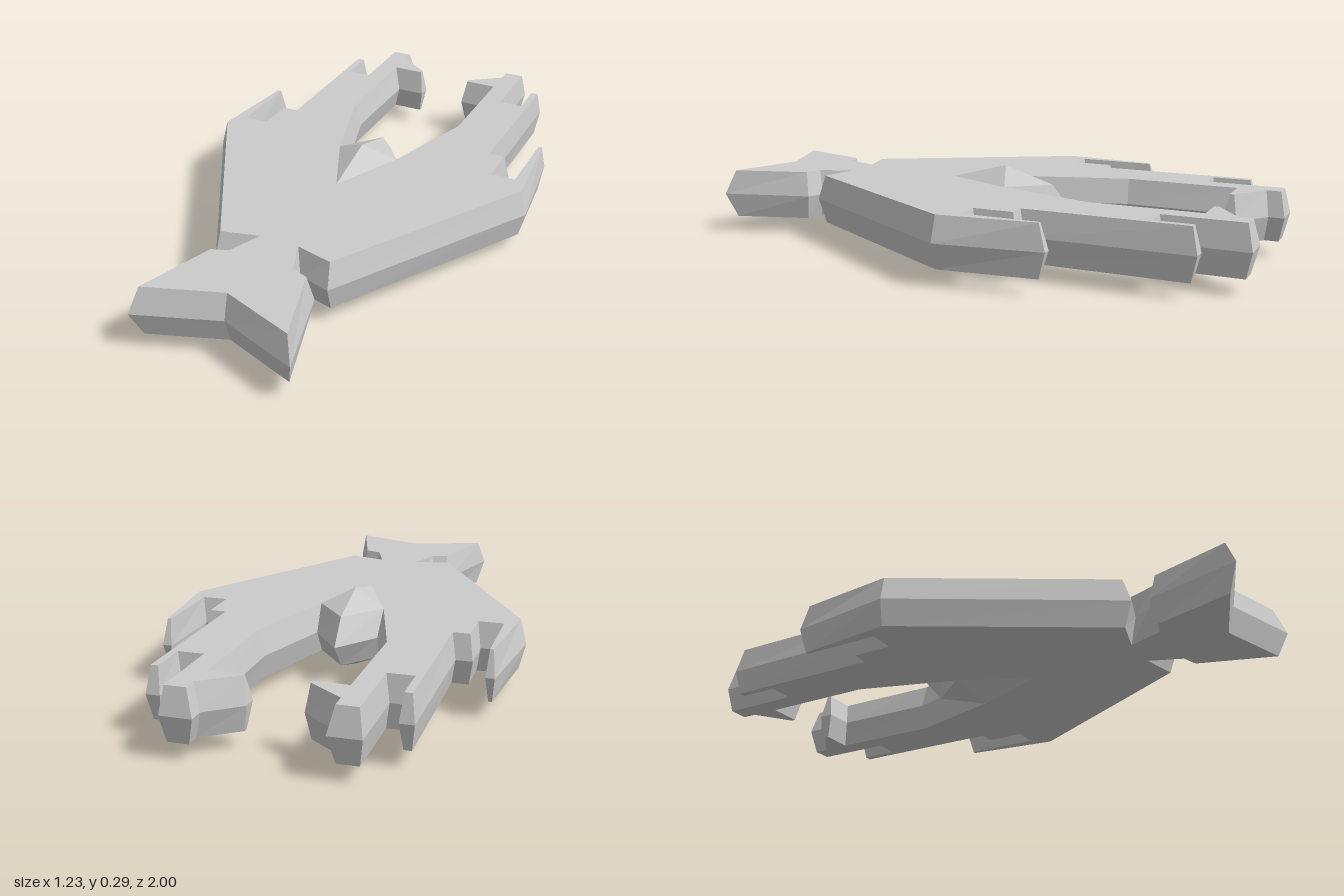
import * as THREE from 'three';

const MID = 0.145, HALF = 0.0885, PEAK = 0.145;

// Left half of the outline, front to back: [rim x, rim z, face x, face z].
// The rim is the widest line at mid height; the flat faces are slightly inset.
const HALF_OUTLINE = [
  // tail and waist
  [0, 0.9, 0, 0.875], [0.28, 1, 0.255, 0.965], [0.19, 0.685, 0.172, 0.7],
  [0.13, 0.66, 0.115, 0.68], [0.09, 0.593, 0.07, 0.565],
  // wing and outer prong
  [0.205, 0.628, 0.2, 0.598], [0.617, -0.07, 0.595, -0.075],
  [0.57, -0.435, 0.56, -0.41], [0.54, -0.435, 0.548, -0.41],
  [0.533, -0.16, 0.548, -0.14], [0.475, -0.16, 0.46, -0.14],
  // middle prong
  [0.475, -0.3, 0.46, -0.28], [0.417, -0.3, 0.402, -0.28],
  [0.417, -0.86, 0.405, -0.84], [0.37, -0.86, 0.38, -0.84],
  [0.365, -0.72, 0.38, -0.705], [0.306, -0.72, 0.292, -0.705],
  // inner prong with its hook
  [0.306, -1, 0.292, -0.98], [0.2, -1, 0.222, -0.98],
  [0.2, -0.945, 0.222, -0.93], [0.09, -0.86, 0.105, -0.845],
  [0.09, -0.81, 0.105, -0.83], [0.195, -0.81, 0.22, -0.83],
  // cockpit nook and rear point
  [0.197, -0.44, 0.22, -0.435], [0.11, -0.155, 0.115, -0.09], [0, -0.3, 0, -0.225],
];

function flatMesh(name, points, material) {
  const geometry = new THREE.BufferGeometry().setFromPoints(points);
  geometry.computeVertexNormals();
  const mesh = new THREE.Mesh(geometry, material);
  mesh.name = name;
  return mesh;
}

// Flat hull: a bulging rim between two equal faces
function hullPoints() {
  const mirrored = HALF_OUTLINE.slice(1, -1).reverse().map(([a, b, c, d]) => [-a, b, -c, d]);
  const outline = [...HALF_OUTLINE, ...mirrored];
  const rim = outline.map(([x, z]) => new THREE.Vector3(x, MID, z));
  const face = (y) => outline.map(([, , x, z]) => new THREE.Vector3(x, y, z));
  const top = face(MID + HALF), bottom = face(MID - HALF);
  const points = [];

  const band = (lower, upper) => lower.forEach((p, i) => {
    const j = (i + 1) % lower.length;
    points.push(p, lower[j], upper[j], p, upper[j], upper[i]);
  });
  band(bottom, rim);
  band(rim, top);

  const flat = top.map((p) => new THREE.Vector2(p.x, -p.z));
  for (const [a, b, c] of THREE.ShapeUtils.triangulateShape(flat, [])) {
    points.push(top[a], top[b], top[c], bottom[c], bottom[b], bottom[a]);
  }
  return points;
}

// Low four-sided pyramid on the upper (side 1) or lower (side -1) face
function canopyPoints(side) {
  const base = [[0, 0.165], [0.115, -0.09], [0, -0.225], [-0.115, -0.09]]
    .map(([x, z]) => new THREE.Vector3(x, MID + side * HALF, z));
  const apex = new THREE.Vector3(0, MID + side * PEAK, -0.043);
  return base.flatMap((p, i) => {
    const q = base[(i + 1) % 4];
    return side > 0 ? [p, q, apex] : [q, p, apex];
  });
}

export function createModel() {
  const material = new THREE.MeshStandardMaterial({ color: 0xcccccc, flatShading: true });
  const model = new THREE.Group();
  model.name = 'spacecraft';
  model.add(
    flatMesh('hull', hullPoints(), material),
    flatMesh('upperCanopy', canopyPoints(1), material),
    flatMesh('lowerCanopy', canopyPoints(-1), material),
  );
  return model;
}
